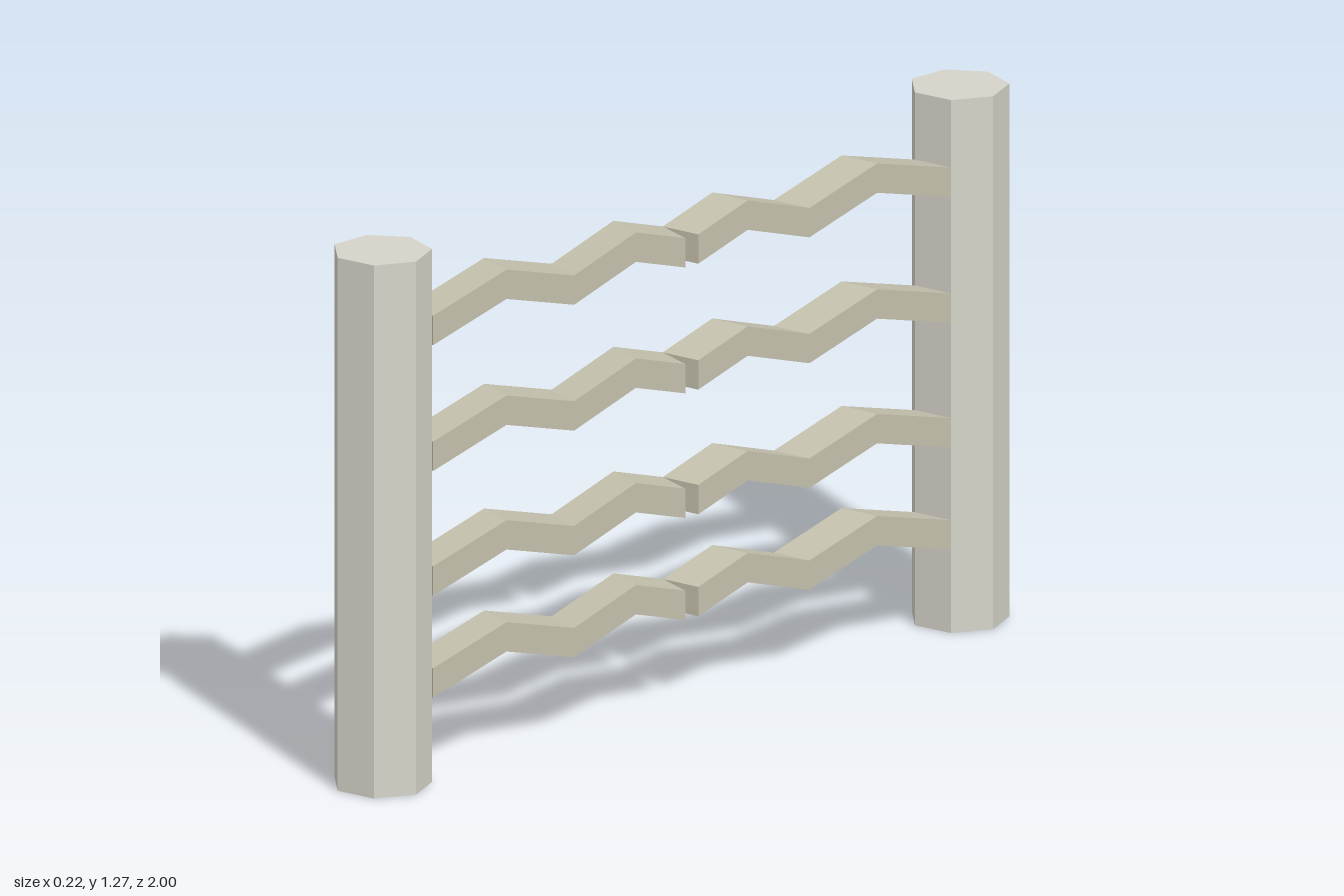
import * as THREE from 'three';

const POST_X = -0.007, POST_Z = 0.888, POST_R = 0.1147, POST_H = 1.27;
const RAIL_X0 = -0.032, RAIL_W = 0.097, RAIL_T = 0.07, SKEW = 0.02;

// Zigzag of one half rail: distance from the middle, height above the rail's lowest point
const ZIGZAG = [[0, 0.013], [0.152, 0.06], [0.342, 0], [0.55, 0.06], [0.776, 0]];

// Half rail from the middle to one post; skewed ends leave a notch in the middle
function halfRailGeometry(side) {
  const lower = ZIGZAG.map(([z, y]) => new THREE.Vector2(-side * z, y));
  const upper = lower.map((p) => new THREE.Vector2(p.x, p.y + RAIL_T)).reverse();
  const geo = new THREE.ExtrudeGeometry(new THREE.Shape([...lower, ...upper]), {
    depth: RAIL_W, bevelEnabled: false,
  });
  geo.rotateY(Math.PI / 2);
  const pos = geo.attributes.position;
  for (let i = 0; i < pos.count; i++) {
    pos.setZ(i, pos.getZ(i) + side * SKEW * pos.getX(i) / RAIL_W);
  }
  geo.translate(RAIL_X0, 0, 0);
  geo.computeVertexNormals();
  return geo;
}

export function createModel() {
  const group = new THREE.Group();
  group.name = 'fence';
  const postMat = new THREE.MeshStandardMaterial({ color: 0xd6d4c9, flatShading: true });
  const railMat = new THREE.MeshStandardMaterial({ color: 0xc4c0ad, flatShading: true });

  // Seven-sided posts, one corner towards +x
  const postGeo = new THREE.CylinderGeometry(POST_R, POST_R, POST_H, 7, 1, false, Math.PI / 2);

  for (const side of [1, -1]) {
    const end = side > 0 ? 'front' : 'back';
    const post = new THREE.Mesh(postGeo, postMat);
    post.name = `${end}Post`;
    post.position.set(POST_X, POST_H / 2, side * POST_Z);
    group.add(post);

    // Four wavy rails
    const railGeo = halfRailGeometry(side);
    [0.2, 0.443, 0.74, 1.04].forEach((y, i) => {
      const rail = new THREE.Mesh(railGeo, railMat);
      rail.name = `${end}Rail${i + 1}`;
      rail.position.y = y;
      group.add(rail);
    });
  }
  return group;
}
